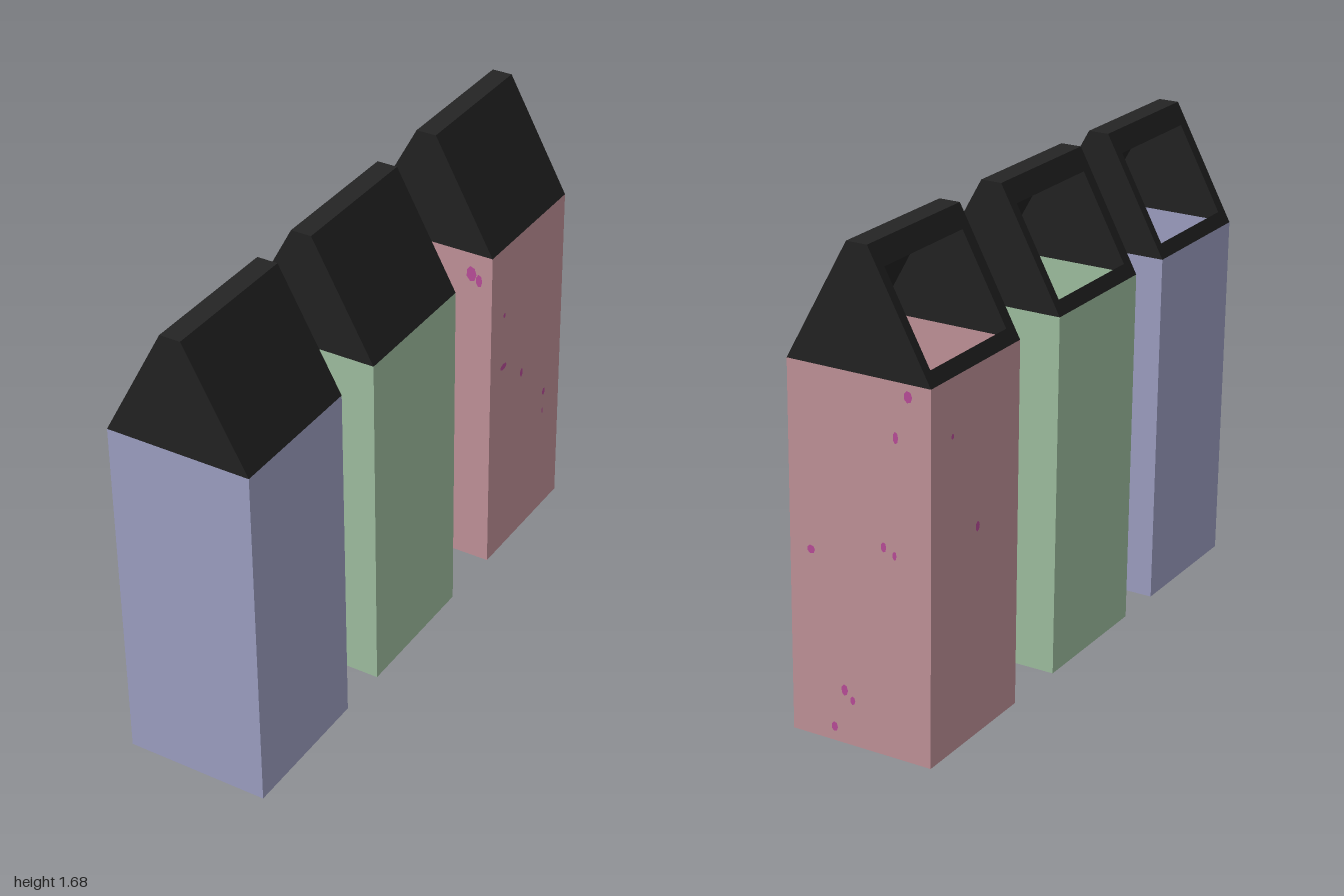
import * as THREE from 'three';

const mat = (name, color) => {
  const m = new THREE.MeshStandardMaterial({ color, side: THREE.DoubleSide });
  m.name = name;
  return m;
};

const HALF = 0.26;    // half width of a carton
const WALL = 1.27;    // wall height
const TOP = 1.68;     // ridge height
const RIDGE = 0.037;  // half width of the flat ridge

function add(parent, name, geometry, material) {
  const mesh = new THREE.Mesh(geometry, material);
  mesh.name = name;
  parent.add(mesh);
  return mesh;
}

// Sloped roof panel on the -x side, with an optional window opening
function slopeGeometry(open) {
  const run = HALF - RIDGE, rise = TOP - WALL, len = Math.hypot(run, rise);
  const shape = new THREE.Shape([[-HALF, 0], [HALF, 0], [HALF, len], [-HALF, len]]
    .map(p => new THREE.Vector2(...p)));
  if (open) {
    const lo = 0.11 * len, hi = 0.83 * len;
    shape.holes.push(new THREE.Path([[-0.225, lo], [-0.225, hi], [0.215, hi], [0.215, lo]]
      .map(p => new THREE.Vector2(...p))));
  }
  const basis = new THREE.Matrix4().makeBasis(
    new THREE.Vector3(0, 0, 1),
    new THREE.Vector3(run / len, rise / len, 0),
    new THREE.Vector3(-rise / len, run / len, 0)
  ).setPosition(-HALF, WALL, 0);
  return new THREE.ShapeGeometry(shape).applyMatrix4(basis);
}

function makeCarton(name, wallMat, roofMat, floorMat) {
  const carton = new THREE.Group();
  carton.name = name;

  // Open square tube for the walls
  const tube = new THREE.CylinderGeometry(HALF * Math.SQRT2, HALF * Math.SQRT2, WALL, 4, 1, true)
    .rotateY(Math.PI / 4).translate(0, WALL / 2, 0).toNonIndexed();
  tube.computeVertexNormals();
  add(carton, 'walls', tube, wallMat);
  add(carton, 'floor', new THREE.PlaneGeometry(2 * HALF, 2 * HALF).rotateX(Math.PI / 2), floorMat);

  // Roof: open slope, closed slope, flat ridge and two gables
  add(carton, 'openRoofSlope', slopeGeometry(true), roofMat);
  add(carton, 'closedRoofSlope', slopeGeometry(false).rotateY(Math.PI), roofMat);
  add(carton, 'ridge', new THREE.PlaneGeometry(2 * RIDGE, 2 * HALF)
    .rotateX(-Math.PI / 2).translate(0, TOP, 0), roofMat);
  const gable = new THREE.Shape([[-HALF, WALL], [HALF, WALL], [RIDGE, TOP], [-RIDGE, TOP]]
    .map(p => new THREE.Vector2(...p)));
  for (const turn of [0, Math.PI]) {
    add(carton, 'gable', new THREE.ShapeGeometry(gable)
      .translate(0, 0, HALF).rotateY(turn), roofMat);
  }
  return carton;
}

// Small flat flecks: [turn about y in quarter turns, offset across wall, height, width, height of fleck]
const FLECKS = [
  [1, -0.17, 0.79, 0.045, 0.025], [1, -0.035, 0.69, 0.02, 0.035], [1, 0.14, 0.51, 0.02, 0.03],
  [1, 0.135, 0.43, 0.01, 0.025], [1, -0.17, 1.0, 0.015, 0.02],
  [2, 0.18, 1.23, 0.03, 0.04], [2, 0.135, 1.09, 0.02, 0.04], [2, 0.09, 0.72, 0.02, 0.035],
  [2, 0.13, 0.70, 0.015, 0.03], [2, -0.18, 0.65, 0.03, 0.03], [2, -0.06, 0.19, 0.025, 0.04],
  [2, -0.03, 0.16, 0.02, 0.03], [2, -0.1, 0.05, 0.025, 0.035],
  [3, 0.01, 0.73, 0.025, 0.035], [3, -0.14, 1.08, 0.015, 0.02],
  [0, 0.18, 1.19, 0.04, 0.06], [0, 0.21, 1.17, 0.025, 0.05],
];

export function createModel() {
  const model = new THREE.Group();
  model.name = 'cartons';
  const roof = mat('roofBlack', 0x242424);
  const floor = mat('floorGrey', 0xcacaca);
  const fleckMat = mat('magenta', 0xc0509f);

  const rows = [
    ['blueCarton', mat('paleBlue', 0xa3a5c9), 0.74],
    ['greenCarton', mat('paleGreen', 0xa5c6a6), 0.03],
    ['redCarton', mat('paleRed', 0xc8989f), -0.74],
  ];
  for (const [name, wallMat, z] of rows) {
    const carton = makeCarton(name, wallMat, roof, floor);
    carton.position.set(0.01, 0.0042, z);
    carton.rotation.z = 0.016; // slight lean
    model.add(carton);

    if (name === 'redCarton') {
      for (const [quarter, u, y, w, h] of FLECKS) {
        add(carton, 'fleck', new THREE.CircleGeometry(0.5, 7).scale(w, h, 1)
          .translate(u, y, HALF + 0.002).rotateY(quarter * Math.PI / 2), fleckMat);
      }
    }
  }
  return model;
}
